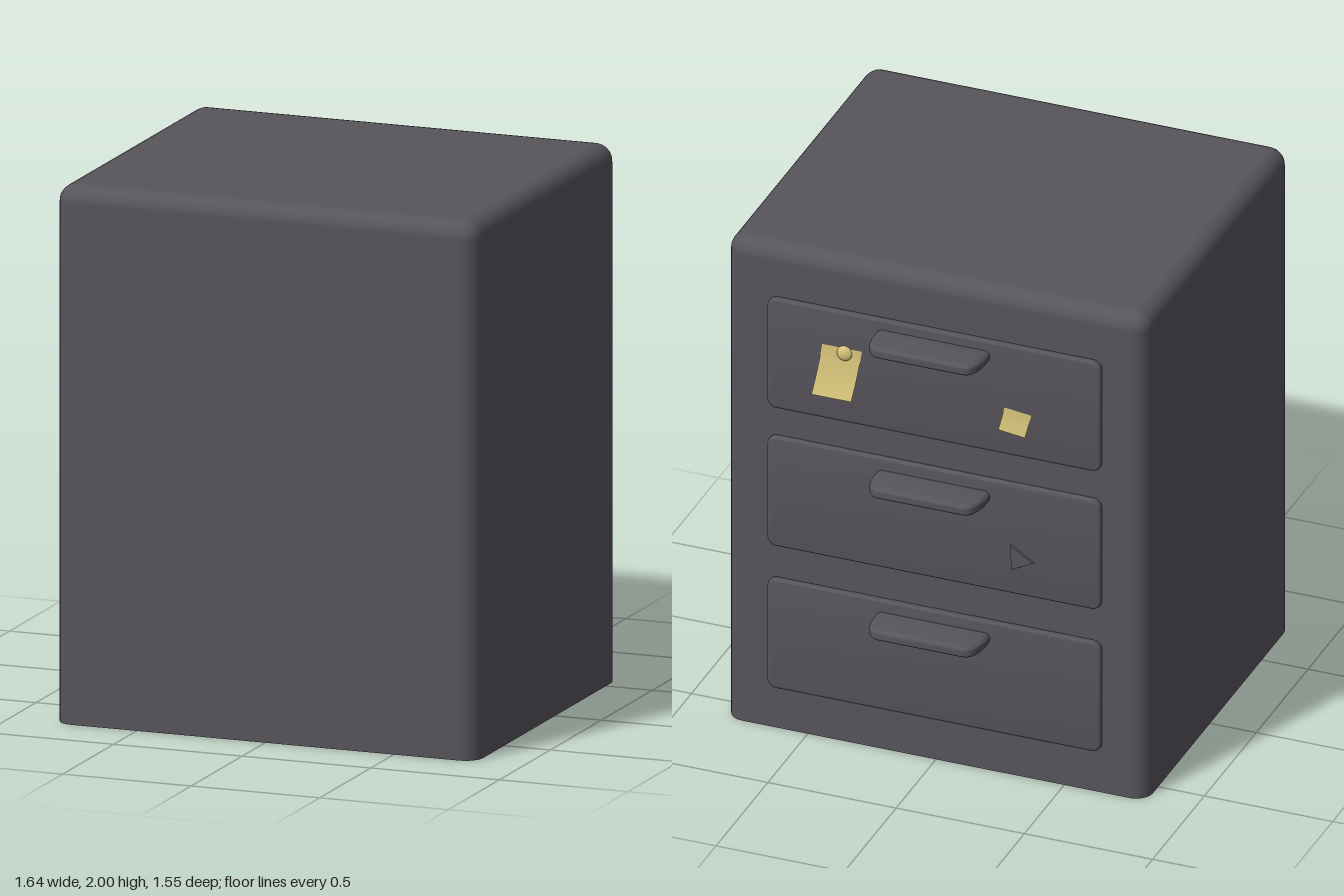
import * as THREE from 'three';
import { toCreasedNormals } from 'three/addons/utils/BufferGeometryUtils.js';

const BACK = -0.615; // cabinet face carrying the drawers
const PANEL = -0.64; // outer face of the drawers

// Box open at the bottom, with rounded upright and top edges
function shellGeometry(w, h, d, r, steps = 6) {
  const pos = [], nor = [], idx = [];
  const cols = 4 * (steps + 1);
  const ring = (y, t) => {
    for (let c = 0; c < 4; c++) {
      const sx = c === 0 || c === 3 ? 1 : -1, sz = c < 2 ? 1 : -1;
      for (let s = 0; s <= steps; s++) {
        const a = (c + s / steps) * Math.PI / 2;
        const nx = Math.cos(a) * Math.cos(t), nz = Math.sin(a) * Math.cos(t);
        pos.push(sx * (w / 2 - r) + r * nx, y, sz * (d / 2 - r) + r * nz);
        nor.push(nx, Math.sin(t), nz);
      }
    }
  };
  ring(0, 0);
  for (let k = 0; k <= steps; k++) {
    const t = k / steps * Math.PI / 2;
    ring(h - r + r * Math.sin(t), t);
  }
  for (let k = 0; k <= steps; k++) {
    for (let i = 0; i < cols; i++) {
      const a = k * cols + i, b = k * cols + (i + 1) % cols;
      idx.push(a, a + cols, b, b, a + cols, b + cols);
    }
  }
  // flat top between the four corner centres
  const [p, q, u, v] = [0, 1, 2, 3].map(c => (steps + 1) * cols + c * (steps + 1));
  idx.push(p, u, q, p, v, u);
  const g = new THREE.BufferGeometry();
  g.setAttribute('position', new THREE.Float32BufferAttribute(pos, 3));
  g.setAttribute('normal', new THREE.Float32BufferAttribute(nor, 3));
  g.setIndex(idx);
  return g;
}

function roundedRect(w, h, r) {
  const s = new THREE.Shape(), x = w / 2, y = h / 2;
  s.absarc(x - r, y - r, r, 0, Math.PI / 2);
  s.absarc(-x + r, y - r, r, Math.PI / 2, Math.PI);
  s.absarc(-x + r, -y + r, r, Math.PI, Math.PI * 1.5);
  s.absarc(x - r, -y + r, r, Math.PI * 1.5, Math.PI * 2);
  return s;
}

// Drawer front with softly bevelled rim
function drawerGeometry() {
  const g = new THREE.ExtrudeGeometry(roundedRect(1.28, 0.435, 0.025), {
    depth: 0.008, bevelThickness: 0.01, bevelSize: 0.01, bevelSegments: 3, curveSegments: 4 });
  g.translate(0, 0, PANEL + 0.01);
  return toCreasedNormals(g, 0.7);
}

// Flat tongue-shaped pull with rounded edges
function handleGeometry() {
  const b = 0.02;
  const s = new THREE.Shape();
  s.moveTo(-0.2, 0);
  s.lineTo(0.2, 0);
  s.bezierCurveTo(0.206, 0.05, 0.196, 0.118, 0.165, 0.118);
  s.lineTo(-0.165, 0.118);
  s.bezierCurveTo(-0.196, 0.118, -0.206, 0.05, -0.2, 0);
  const g = new THREE.ExtrudeGeometry(s, {
    depth: 0.005, bevelThickness: b, bevelSize: b, bevelSegments: 5, curveSegments: 8 });
  g.translate(0, 0, -0.0025);
  g.rotateX(-Math.PI / 2);
  g.translate(0, 0, PANEL);
  return toCreasedNormals(g, 0.8);
}

// Sheet of paper facing backwards, its lower end curling outwards
function paperGeometry(w, h, curl, shear) {
  const g = new THREE.PlaneGeometry(w, h, 4, 10);
  g.rotateY(Math.PI);
  const p = g.attributes.position;
  for (let i = 0; i < p.count; i++) {
    const v = 0.5 - p.getY(i) / h;
    p.setX(i, p.getX(i) + shear * (v - 0.5));
    p.setZ(i, -curl * v * v);
  }
  g.computeVertexNormals();
  return g;
}

export function createModel() {
  const model = new THREE.Group();
  const grey = new THREE.MeshStandardMaterial({ color: 0x57545b, side: THREE.DoubleSide });
  grey.name = 'darkGrey';
  const yellow = new THREE.MeshStandardMaterial({ color: 0xd8c67c, side: THREE.DoubleSide });
  yellow.name = 'paperYellow';

  const add = (name, geometry, material, x = 0, y = 0, z = 0) => {
    const m = new THREE.Mesh(geometry, material);
    m.name = name;
    m.position.set(x, y, z);
    model.add(m);
    return m;
  };

  add('cabinetBody', shellGeometry(1.64, 2, 1.39, 0.065), grey, 0, 0, BACK + 0.695);

  // Three drawers with pulls
  const drawer = drawerGeometry(), handle = handleGeometry();
  [['top', 1.568, 1.733], ['middle', 0.994, 1.15], ['bottom', 0.403, 0.56]].forEach(([n, y, hy]) => {
    add(n + 'Drawer', drawer, grey, 0, y);
    add(n + 'Handle', handle, grey, 0, hy);
  });

  // Pinned note and small sticker on the top drawer
  add('pinnedNote', paperGeometry(0.155, 0.2, 0.03, 0.03), yellow, 0.37, 1.55, PANEL - 0.003);
  const pin = add('pin', new THREE.SphereGeometry(0.03, 16, 10), yellow, 0.345, 1.63, PANEL - 0.004);
  pin.scale.z = 0.5;
  const sticker = add('smallNote', paperGeometry(0.105, 0.095, 0.008, 0.01), yellow, -0.32, 1.485, PANEL - 0.004);
  sticker.rotation.z = 0.12;

  // Small raised triangle on the middle drawer
  const tri = new THREE.Shape([[-0.305, 0.965], [-0.385, 0.915], [-0.31, 0.875]]
    .map(([x, y]) => new THREE.Vector2(x, y)));
  const triangle = new THREE.ExtrudeGeometry(tri, {
    depth: 0.006, bevelThickness: 0.004, bevelSize: 0.005, bevelSegments: 2 });
  add('triangleChip', triangle, grey, 0, 0, PANEL - 0.006);

  return model;
}
